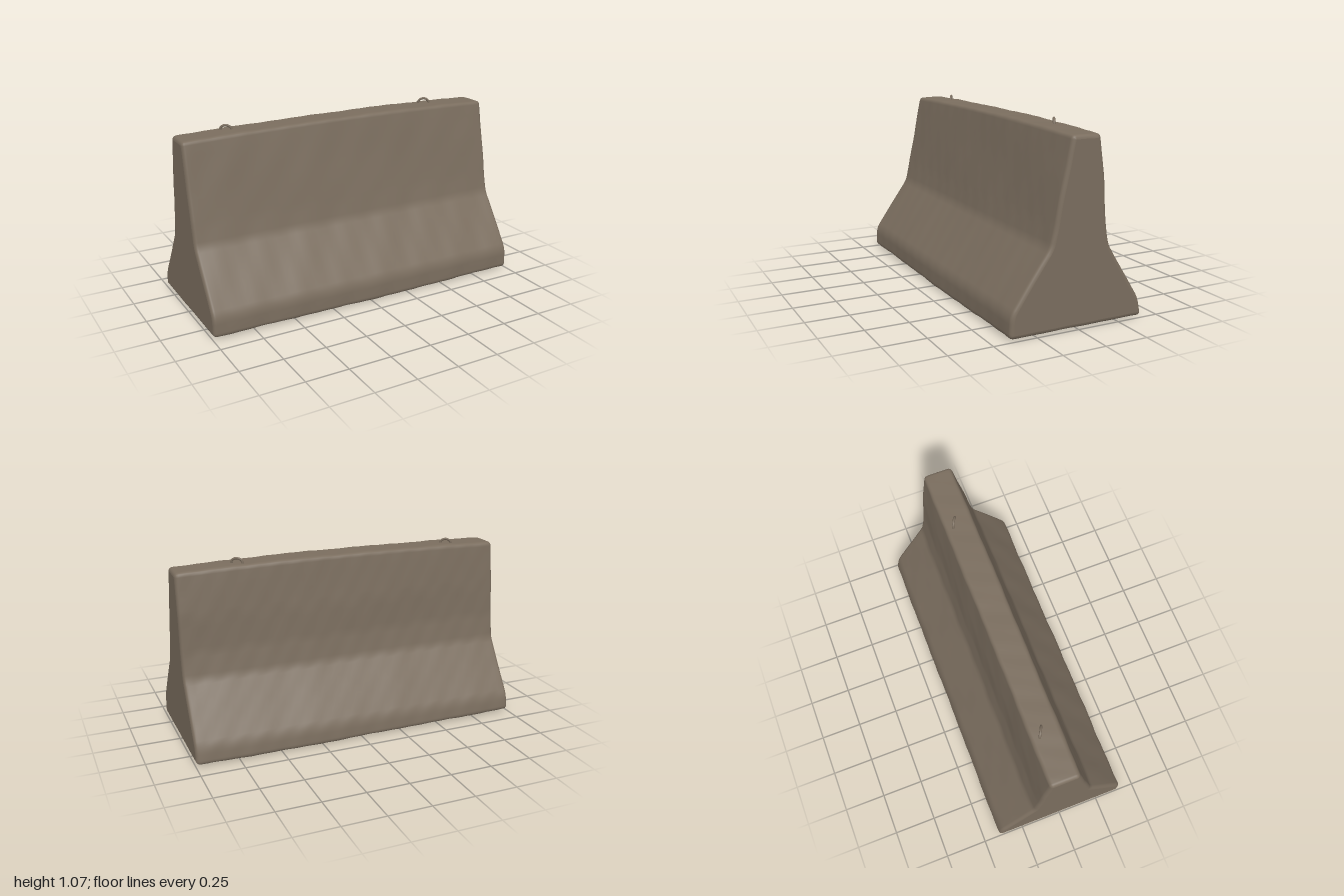
import * as THREE from 'three';

// Cross-section corners: z, y, rounding (front foot, up the front, over the top, down the back)
const CORNERS = [
  [0.405, 0.012, 0.028], [0.4, 0.135, 0.04], [0.176, 0.46, 0.03], [0.15, 0.575, 0.03],
  [0.056, 1.04, 0.022], [-0.115, 1.04, 0.026], [-0.148, 0.77, 0.05], [-0.16, 0.58, 0.03],
  [-0.186, 0.43, 0.03], [-0.39, 0.11, 0.04], [-0.405, 0.01, 0.028],
];

// Closed outline with rounded corners and subdivided sides
function makeProfile() {
  const pts = [];
  const v = CORNERS.map(([z, y]) => new THREE.Vector2(z, y));
  const n = v.length;
  const toward = (a, b, d) => a.clone().add(b.clone().sub(a).setLength(d));
  for (let i = 0; i < n; i++) {
    const prev = v[(i + n - 1) % n], cur = v[i], next = v[(i + 1) % n];
    const r = CORNERS[i][2];
    const end = toward(cur, next, r);
    pts.push(...new THREE.QuadraticBezierCurve(toward(cur, prev, r), cur, end).getPoints(5));
    const nextStart = toward(next, cur, CORNERS[(i + 1) % n][2]);
    const steps = Math.max(1, Math.round(end.distanceTo(nextStart) / 0.06));
    for (let s = 1; s < steps; s++) pts.push(end.clone().lerp(nextStart, s / steps));
  }
  return pts;
}

// Gentle unevenness of worn cast concrete
function wobble(x, y, z) {
  return 0.0022 * Math.sin(9 * x + 5 * y + 3 * z) * Math.cos(7 * y - 4 * x)
    + 0.0014 * Math.sin(23 * x - 13 * y + 2) * Math.sin(17 * z + 11 * y)
    + 0.0008 * Math.sin(47 * x + 31 * z + 29 * y);
}

function makeBarrier() {
  const profile = makeProfile();
  const n = profile.length;
  const normals = profile.map((p, i) => {
    const t = profile[(i + 1) % n].clone().sub(profile[(i + n - 1) % n]).normalize();
    return new THREE.Vector2(t.y, -t.x);
  });

  // Stations along the length, with rounded ends
  const R = 0.022, stations = [];
  for (let k = 0; k <= 4; k++) {
    const a = (k / 4) * Math.PI / 2;
    stations.push([-0.997 + R * (1 - Math.sin(a)), R * (1 - Math.cos(a))]);
  }
  stations.reverse();
  const left = stations.map(([x, inset]) => [x, inset]).reverse();
  left.sort((a, b) => a[0] - b[0]);
  const all = [...left];
  const edge = 0.997 - R;
  for (let k = 1; k < 60; k++) all.push([-edge + 2 * edge * k / 60, 0]);
  all.push(...left.map(([x, inset]) => [-x, inset]).reverse());

  const pos = [], index = [];
  for (const [x, inset] of all) {
    profile.forEach((p, j) => {
      const d = wobble(x, p.y, p.x) - inset;
      const z = p.x + normals[j].x * d;
      let y = p.y + normals[j].y * d;
      // Crowned top and slightly sagging underside
      if (p.y > 0.9) y += 0.006 - 0.016 * x * x;
      if (p.y < 0.06) y += 0.008 * (Math.abs(x - 0.25) - 0.6);
      pos.push(x, Math.max(y, 0), z);
    });
  }
  for (let i = 0; i < all.length - 1; i++) {
    for (let j = 0; j < n; j++) {
      const k = (j + 1) % n;
      const a = i * n + j, b = a + n, c = (i + 1) * n + k, d = i * n + k;
      index.push(a, b, c, a, c, d);
    }
  }

  // Flat end caps with their own vertices
  for (const [row, side] of [[0, -1], [all.length - 1, 1]]) {
    const base = pos.length / 3, ring = [];
    for (let j = 0; j < n; j++) {
      const o = (row * n + j) * 3;
      ring.push(new THREE.Vector2(pos[o + 2], pos[o + 1]));
      pos.push(pos[o], pos[o + 1], pos[o + 2]);
    }
    for (const [a, b, c] of THREE.ShapeUtils.triangulateShape(ring, [])) {
      const turn = ring[b].clone().sub(ring[a]).cross(ring[c].clone().sub(ring[a]));
      if (turn * side < 0) index.push(base + a, base + b, base + c);
      else index.push(base + a, base + c, base + b);
    }
  }

  const geo = new THREE.BufferGeometry();
  geo.setAttribute('position', new THREE.Float32BufferAttribute(pos, 3));
  geo.setIndex(index);
  geo.computeVertexNormals();
  return geo;
}

export function createModel() {
  const model = new THREE.Group();
  model.name = 'concreteBarrier';
  const concrete = new THREE.MeshStandardMaterial({ color: 0x7a6d5e });
  concrete.name = 'concrete';

  const body = new THREE.Mesh(makeBarrier(), concrete);
  body.name = 'barrierBody';
  model.add(body);

  // Lifting loops set into the top, turned slightly from the long axis
  const arch = new THREE.CatmullRomCurve3([
    [-0.034, -0.04], [-0.034, 0], [-0.026, 0.023], [0, 0.034], [0.026, 0.023], [0.034, 0], [0.034, -0.04],
  ].map(([x, y]) => new THREE.Vector3(x, y, 0)));
  const loopGeo = new THREE.TubeGeometry(arch, 28, 0.007, 8);
  for (const [name, x, y] of [['rightLiftingLoop', -0.7, 1.03], ['leftLiftingLoop', 0.63, 1.034]]) {
    const loop = new THREE.Mesh(loopGeo, concrete);
    loop.name = name;
    loop.position.set(x, y, -0.053);
    loop.rotation.y = -0.5;
    model.add(loop);
  }
  return model;
}
